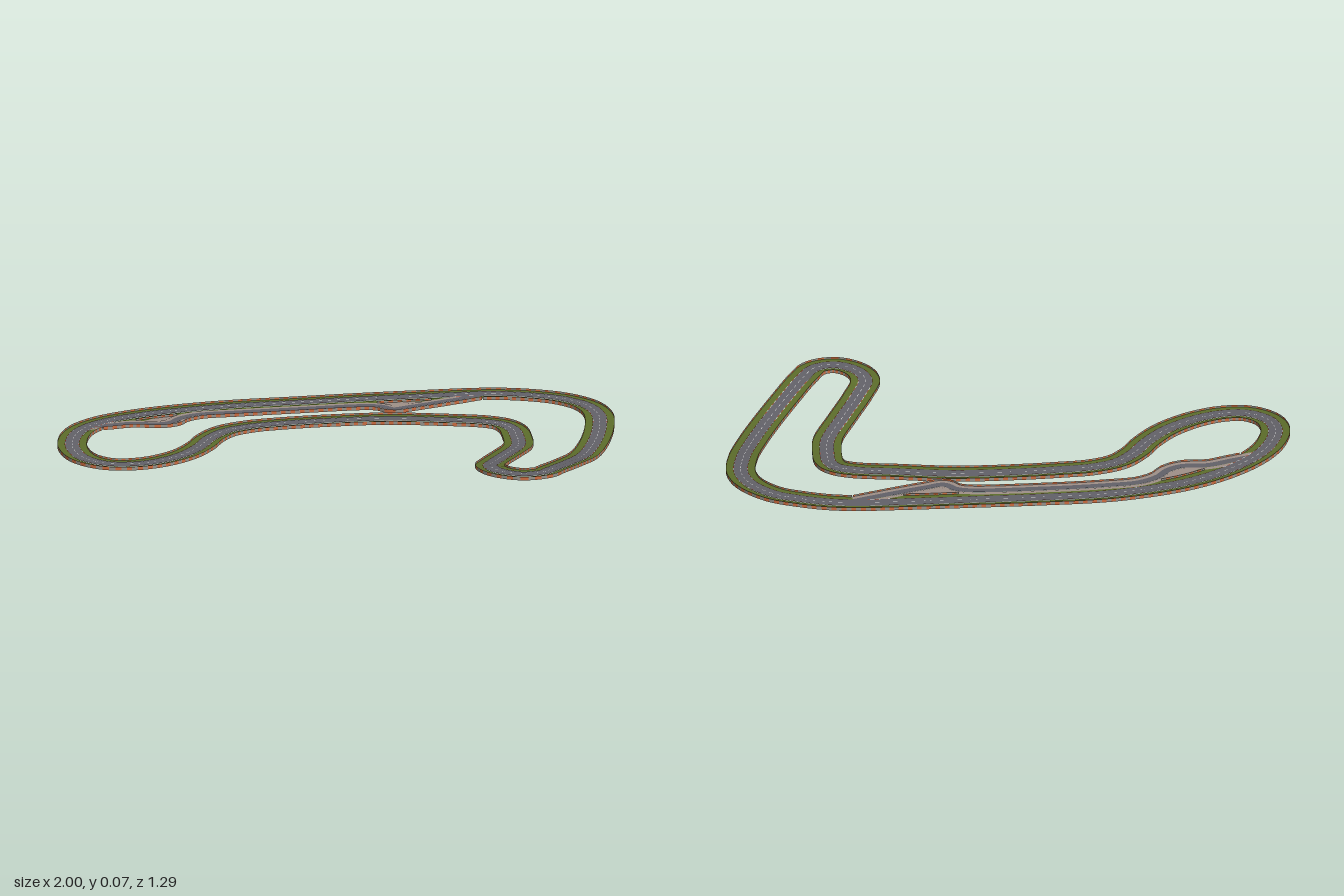
import * as THREE from 'three';

const mat = (name, color) => {
  const m = new THREE.MeshStandardMaterial({ color, side: THREE.DoubleSide });
  m.name = name;
  return m;
};

export function createModel() {
  const M = {
    asphalt: mat('asphalt', 0x636269),
    grass: mat('grass', 0x5d6e2b),
    concrete: mat('concrete', 0xa09189),
    red: mat('kerbRed', 0xb0452f),
    white: mat('paintWhite', 0xd6d6d6),
    grey: mat('barrierGrey', 0x98928a),
    orange: mat('barrierOrange', 0xcc6c40),
  };
  const group = new THREE.Group();
  group.name = 'raceCircuit';

  // Centreline of the circuit, clockwise from the left end: x, y, z
  const mainPts = [
    [-0.945, 0.05, 0.33], [-0.928, 0.05, 0.22], [-0.87, 0.045, 0.1], [-0.775, 0.038, -0.015],
    [-0.665, 0.033, -0.107], [-0.48, 0.029, -0.22], [-0.24, 0.028, -0.322], [0, 0.029, -0.417],
    [0.24, 0.029, -0.508], [0.4, 0.029, -0.565], [0.5, 0.029, -0.588], [0.61, 0.029, -0.593],
    [0.72, 0.028, -0.58], [0.83, 0.027, -0.52], [0.895, 0.023, -0.43], [0.93, 0.016, -0.29],
    [0.943, 0.006, -0.13], [0.94, 0.008, 0.03], [0.917, 0.031, 0.21], [0.89, 0.054, 0.37],
    [0.868, 0.061, 0.445], [0.8, 0.063, 0.488], [0.71, 0.062, 0.465], [0.658, 0.058, 0.4],
    [0.655, 0.046, 0.3], [0.667, 0.026, 0.13], [0.675, 0.01, -0.03], [0.65, 0.008, -0.13],
    [0.61, 0.01, -0.225], [0.565, 0.014, -0.262], [0.495, 0.017, -0.272], [0.35, 0.021, -0.25],
    [0.135, 0.024, -0.21], [-0.08, 0.025, -0.135], [-0.24, 0.025, -0.065], [-0.345, 0.024, -0.01],
    [-0.425, 0.023, 0.065], [-0.463, 0.022, 0.16], [-0.48, 0.021, 0.265], [-0.52, 0.022, 0.385],
    [-0.6, 0.025, 0.5], [-0.69, 0.029, 0.567], [-0.775, 0.033, 0.587], [-0.865, 0.038, 0.55],
    [-0.925, 0.045, 0.46],
  ];
  // Pit lane: x, z
  const pitPts = [
    [-0.925, 0.21], [-0.85, 0.155], [-0.77, 0.098], [-0.675, 0.07], [-0.635, 0.03], [-0.615, -0.03],
    [-0.56, -0.095], [-0.45, -0.15], [-0.24, -0.24], [0.03, -0.34], [0.085, -0.342], [0.135, -0.32],
    [0.19, -0.36], [0.3, -0.45], [0.415, -0.55],
  ];

  // Sample a path into points with a sideways direction (positive = inside)
  const sample = (pts, closed, n) => {
    const c = new THREE.CatmullRomCurve3(pts.map(p => new THREE.Vector3(...p)), closed, 'centripetal');
    c.arcLengthDivisions = 2000;
    return Array.from({ length: n + 1 }, (_, i) => {
      const p = c.getPointAt(i / n), t = c.getTangentAt(i / n);
      return { p, side: new THREE.Vector3(-t.z, 0, t.x).normalize() };
    });
  };
  const main = sample(mainPts, true, 720);
  const straight = main.slice(0, 260); // the stretch beside the pit lane
  const pit = sample(pitPts.map(([x, z]) => [x, 0, z]), false, 180);

  const nearest = (path, v) => {
    let best = 0, dist = Infinity;
    path.forEach((f, i) => {
      const d = Math.hypot(f.p.x - v.x, f.p.z - v.z);
      if (d < dist) { dist = d; best = i; }
    });
    return { f: path[best], dist };
  };
  const at = (f, offset, lift) => f.p.clone().addScaledVector(f.side, offset).setY(f.p.y + lift);
  // Points beside the pit lane follow the height of the circuit next to them
  const atPit = (f, offset, lift) => {
    const v = at(f, offset, 0);
    return v.setY(nearest(straight, v).f.p.y + lift);
  };

  // Strip between two rows of points; keep(i) picks the segments to draw
  const strip = (name, material, a, b, keep = () => true) => {
    const pos = [], idx = [];
    a.forEach((v, i) => pos.push(v.x, v.y, v.z, b[i].x, b[i].y, b[i].z));
    for (let i = 0; i < a.length - 1; i++) {
      const k = 2 * i;
      if (keep(i)) idx.push(k, k + 1, k + 3, k, k + 3, k + 2);
    }
    const g = new THREE.BufferGeometry();
    g.setAttribute('position', new THREE.Float32BufferAttribute(pos, 3));
    g.setIndex(idx);
    g.computeVertexNormals();
    const mesh = new THREE.Mesh(g, material);
    mesh.name = name;
    group.add(mesh);
  };
  const row = (path, offset, lift) => path.map(f => (path === pit ? atPit : at)(f, offset, lift));
  const band = (name, m, path, o1, o2, lift, keep) =>
    strip(name, m, row(path, o1, lift), row(path, o2, lift), keep);

  // Road surface with centre dashes
  band('road', M.asphalt, main, -0.027, 0.027, 0.002);
  band('centreDashes', M.white, main, -0.001, 0.001, 0.003, i => i % 4 < 2);
  for (const s of [-1, 1]) {
    const side = s < 0 ? 'outer' : 'inner';
    const across = (name, m, u, v, lift, keep) =>
      band(side + name, m, main, Math.min(s * u, s * v), Math.max(s * u, s * v), lift, keep);
    // Striped kerbs and grass verges
    across('KerbRed', M.red, 0.025, 0.0275, 0.003, i => i % 4 < 2);
    across('KerbWhite', M.white, 0.025, 0.0275, 0.003, i => i % 4 >= 2);
    across('Verge', M.grass, 0.0255, 0.055, 0);
  }

  // Low barriers with alternating panels
  const barrier = (name, path, offset, open) => {
    const low = row(path, offset, -0.006), high = row(path, offset, 0.008);
    const gap = low.map(open);
    strip(name + 'Grey', M.grey, low, high, i => !gap[i] && i % 4 < 2);
    strip(name + 'Orange', M.orange, low, high, i => !gap[i] && i % 4 >= 2);
  };
  barrier('outerBarrier', main, -0.055, () => false);
  barrier('innerBarrier', main, 0.055, v => nearest(pit, v).dist < 0.035);
  barrier('pitBarrier', pit, 0.036, v => nearest(straight, v).dist < 0.056);

  // Pit lane with concrete borders
  band('pitLane', M.asphalt, pit, -0.016, 0.016, 0.0015);
  band('pitBorderInner', M.concrete, pit, -0.034, -0.016, 0.001);
  band('pitBorderOuter', M.concrete, pit, 0.016, 0.036, 0.001);

  // Concrete apron filling the space between circuit and pit lane
  const near = pit.map(f => nearest(straight, f.p));
  strip('pitApron', M.concrete,
    near.map(n => at(n.f, 0.05, -0.001)),
    row(pit, -0.03, -0.0005),
    i => near[i].dist > 0.065 && near[i + 1].dist > 0.065);

  // Grass wedges where the verge widens near both ends of the pit lane
  for (const [name, x0, x1, w] of [['entryGrass', -0.88, -0.74, 0.018], ['exitGrass', 0.12, 0.32, 0.008]]) {
    const part = straight.filter(f => f.p.x > x0 && f.p.x < x1);
    const bulge = f => 0.055 + w * Math.sin(Math.PI * (f.p.x - x0) / (x1 - x0));
    strip(name, M.grass, row(part, 0.054, 0.0005), part.map(f => at(f, bulge(f), 0.0005)));
  }

  return group;
}
